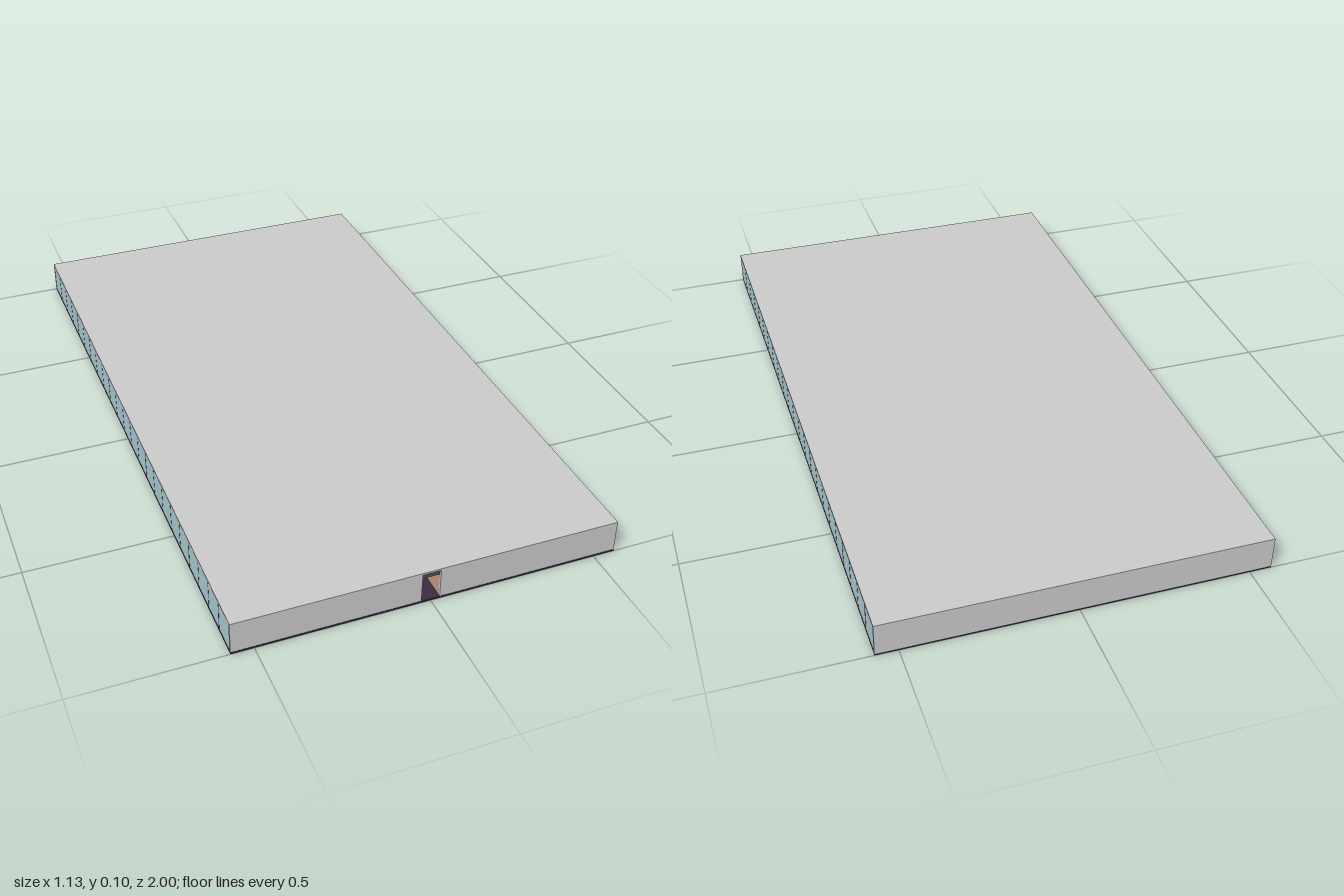
import * as THREE from 'three';

const W = 1.13, L = 2, H = 0.103;
const FLOOR = 0.005, ROOF = 0.006, T = 0.008;
const PANES = 23;

const material = (color) => new THREE.MeshStandardMaterial({ color });
const grey = material(0xcccccc);
const glass = material(0xa9c8d0);
const dark = material(0x484c59);
const plum = material(0x3a2d40);
const red = material(0xd9797f);
const teal = material(0x46a3a3);
const tan = material(0xc49a80);

export function createModel() {
  const model = new THREE.Group();
  model.name = 'building';

  // Box given by its lower and upper limits on each axis
  function box(name, mat, [x0, x1], [y0, y1], [z0, z1], parent = model) {
    const mesh = new THREE.Mesh(new THREE.BoxGeometry(x1 - x0, y1 - y0, z1 - z0), mat);
    mesh.position.set((x0 + x1) / 2, (y0 + y1) / 2, (z0 + z1) / 2);
    mesh.name = name;
    parent.add(mesh);
    return mesh;
  }

  const hw = W / 2, hl = L / 2, top = H - ROOF;
  const wallY = [FLOOR, top];

  // Floor and flat roof
  box('floorSlab', plum, [-hw, hw], [0, FLOOR], [-hl, hl]);
  box('roofSlab', grey, [-hw, hw], [top, H], [-hl, hl]);

  // End walls, the front one split by the doorway
  const door = 0.027;
  box('backWall', grey, [-hw, hw], wallY, [-hl, -hl + T]);
  box('frontWallRight', grey, [-hw, -door], wallY, [hl - T, hl - 0.001]);
  box('frontWallLeft', grey, [door, hw], wallY, [hl - T, hl - 0.001]);

  // Glazed long sides: a row of panes with thin joints and heavier mullions
  const pitch = (L - 2 * T) / PANES;
  const heavy = [1, 4, 9, 14, 19, 22];
  for (const side of [-1, 1]) {
    const glazing = new THREE.Group();
    glazing.name = side > 0 ? 'leftGlazing' : 'rightGlazing';
    const span = (a, b) => (side > 0 ? [a, b] : [-b, -a]);
    box('sideHeader', grey, span(hw - T, hw - 0.0005), [top - 0.004, top], [-hl + T, hl - T], glazing);
    for (let i = 0; i < PANES; i++) {
      const z = hl - T - (i + 1) * pitch;
      box('windowPane', glass, span(hw - T, hw - 0.001), [FLOOR, top - 0.004], [z, z + pitch], glazing);
      if (i > 0) {
        const w = heavy.includes(i) ? 0.0022 : 0.001;
        const c = z + pitch;
        box('mullion', dark, span(hw - T, hw - 0.0005), [FLOOR, top - 0.004], [c - w, c + w], glazing);
      }
    }
    model.add(glazing);
  }

  // Entrance passage behind the doorway
  const passZ = [hl - 0.3, hl - T];
  for (const side of [-1, 1]) {
    const x = side > 0 ? [door, door + 0.004] : [-door - 0.004, -door];
    box('passageWall', tan, x, wallY, passZ);
  }
  box('passageEndWall', tan, [-door, door], wallY, [hl - 0.304, hl - 0.3]);
  box('redStep', red, [-door, door], [FLOOR, 0.02], [hl - 0.3, hl - 0.1]);
  box('doorHeader', dark, [-door, door], [0.077, top], [hl - 0.02, hl - T]);
  box('counter', dark, [-0.019, 0.019], [0.02, 0.051], [hl - 0.3, hl - 0.24]);
  box('displayPanel', teal, [-0.02, 0.02], [0.055, 0.077], [hl - 0.3, hl - 0.27]);

  return model;
}
